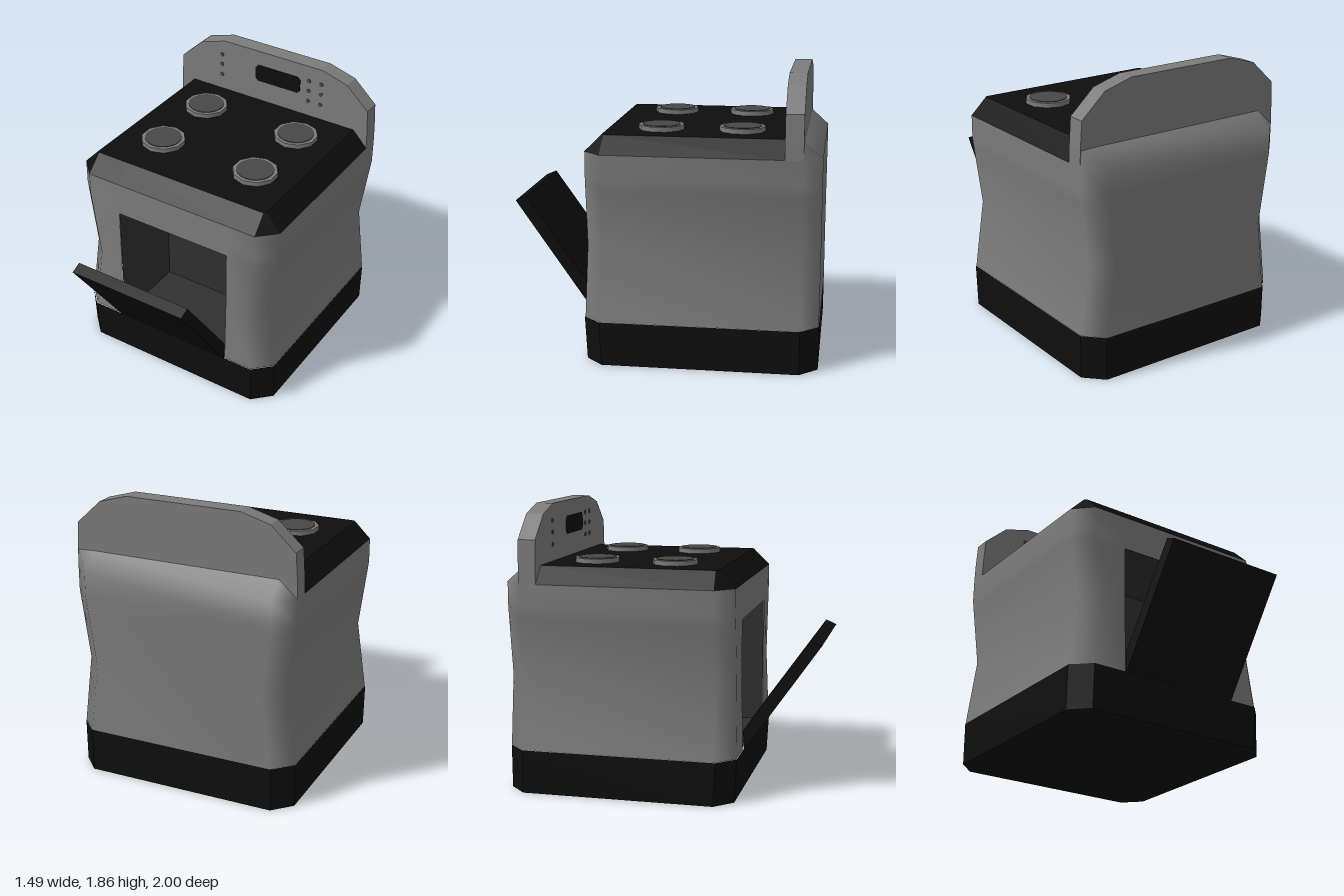
import * as THREE from 'three';

const mat = (name, color, side = THREE.FrontSide) =>
  Object.assign(new THREE.MeshStandardMaterial({ color, side }), { name });

// Plan outline with chamfered corners, running front -> +x side -> back -> -x side
const ring = (y, w, front, back, c, cb = c) => [
  [-w + c, y, front], [-0.40, y, front], [0.43, y, front], [w - c, y, front],
  [w, y, front - c], [w, y, back + cb], [w - c, y, back], [-w + c, y, back],
  [-w, y, back + cb], [-w, y, front - c],
];

// Skin stacked rings; skip(row, column) leaves openings, caps close the ends
function loft(rings, { skip = () => false, bottom = false, top = false, flat = false } = {}) {
  const n = rings[0].length, pos = rings.flat(2), idx = [];
  for (let i = 0; i < rings.length - 1; i++) {
    for (let j = 0; j < n; j++) {
      if (skip(i, j)) continue;
      const a = i * n + j, b = i * n + (j + 1) % n;
      idx.push(a, b, a + n, b, b + n, a + n);
    }
  }
  const last = (rings.length - 1) * n;
  for (let j = 1; j < n - 1; j++) {
    if (bottom) idx.push(0, j + 1, j);
    if (top) idx.push(last, last + j, last + j + 1);
  }
  let g = new THREE.BufferGeometry();
  g.setAttribute('position', new THREE.Float32BufferAttribute(pos, 3));
  g.setIndex(idx);
  if (flat) g = g.toNonIndexed();
  g.computeVertexNormals();
  return g;
}

const outline = (pts) => new THREE.Shape(pts.map(([x, y]) => new THREE.Vector2(x, y)));
const extrude = (pts, depth) =>
  new THREE.ExtrudeGeometry(outline(pts), { depth, bevelEnabled: false });

export function createModel() {
  const grey = mat('enamel grey', 0x7c7c7c, THREE.DoubleSide);
  const black = mat('black', 0x0e0e0e);
  const plate = mat('hot plate grey', 0x474747);
  const inside = mat('oven interior', 0x303030, THREE.DoubleSide);

  const stove = new THREE.Group();
  stove.name = 'stove';
  const add = (name, geometry, material, x = 0, y = 0, z = 0) => {
    const m = new THREE.Mesh(geometry, material);
    m.name = name;
    m.position.set(x, y, z);
    stove.add(m);
    return m;
  };

  // Plinth
  add('base', loft([
    ring(0, 0.745, 0.49, -1, 0.115),
    ring(0.285, 0.747, 0.505, -1, 0.115),
  ], { bottom: true, flat: true }), black);

  // Waisted body: open at the oven mouth, last row is only the sloping rear shoulder
  add('body', loft([
    ring(0.285, 0.745, 0.50, -1, 0.115),
    ring(0.75, 0.683, 0.49, -1, 0.115),
    ring(1.14, 0.736, 0.49, -1, 0.115),
    ring(1.21, 0.745, 0.49, -1, 0.115),
    ring(1.37, 0.745, 0.49, -1, 0.115),
    ring(1.475, 0.742, 0.49, -0.885, 0.115, 0.005),
  ], { skip: (i, j) => (j === 1 && i < 2) || (i === 4 && (j < 5 || j > 7)) }), grey);

  // Oven cavity, a box without its front face
  const cavity = new THREE.BoxGeometry(0.83, 0.855, 0.55);
  const faces = Array.from(cavity.index.array);
  faces.splice(24, 6);
  cavity.setIndex(faces);
  cavity.clearGroups();
  // turn the walls to face inward
  cavity.scale(-1, 1, 1);
  cavity.computeVertexNormals();
  add('ovenCavity', cavity, inside, 0.015, 0.7125, 0.213);

  // Open door leaning forward on its bottom hinge
  const door = extrude([[0.51, 0.285], [1, 0.99], [0.93, 1.02], [0.5, 0.41]], 0.83);
  door.rotateY(-Math.PI / 2);
  add('ovenDoor', door, black, 0.43);

  // Cooktop with sloping rim
  add('cooktop', loft([
    ring(1.37, 0.745, 0.49, -0.78, 0.115, 0.002),
    ring(1.48, 0.64, 0.38, -0.78, 0.015, 0.002),
  ], { top: true, bottom: true, flat: true }), black);

  // Burners
  for (const x of [-0.35, 0.36]) {
    for (const z of [-0.48, 0.04]) {
      add('burnerRing', new THREE.CylinderGeometry(0.148, 0.148, 0.035, 10), grey, x, 1.493, z);
      add('burnerPlate', new THREE.CylinderGeometry(0.122, 0.122, 0.006, 20), plate, x, 1.512, z);
    }
  }

  // Control panel at the back
  const half = [[0.745, 1.36], [0.742, 1.48], [0.732, 1.65], [0.57, 1.80], [0.38, 1.855]];
  const mirrored = half.map(([x, y]) => [-x, y]).reverse();
  add('backPanel', extrude([...half, ...mirrored], 0.115), grey, 0, 0, -0.885);

  // Display window and indicator dots
  const w = 0.175, h = 0.06, c = 0.02;
  add('display', extrude([
    [-w + c, -h], [w - c, -h], [w, -h + c], [w, h - c],
    [w - c, h], [-w + c, h], [-w, h - c], [-w, -h + c],
  ], 0.006), black, 0.045, 1.69, -0.771);
  for (const x of [-0.405, 0.285, 0.38]) {
    for (const y of [1.59, 1.67, 1.745]) {
      const dot = new THREE.CylinderGeometry(0.015, 0.015, 0.006, 8);
      dot.rotateX(Math.PI / 2);
      add('indicator', dot, plate, x, y, -0.768);
    }
  }
  return stove;
}
